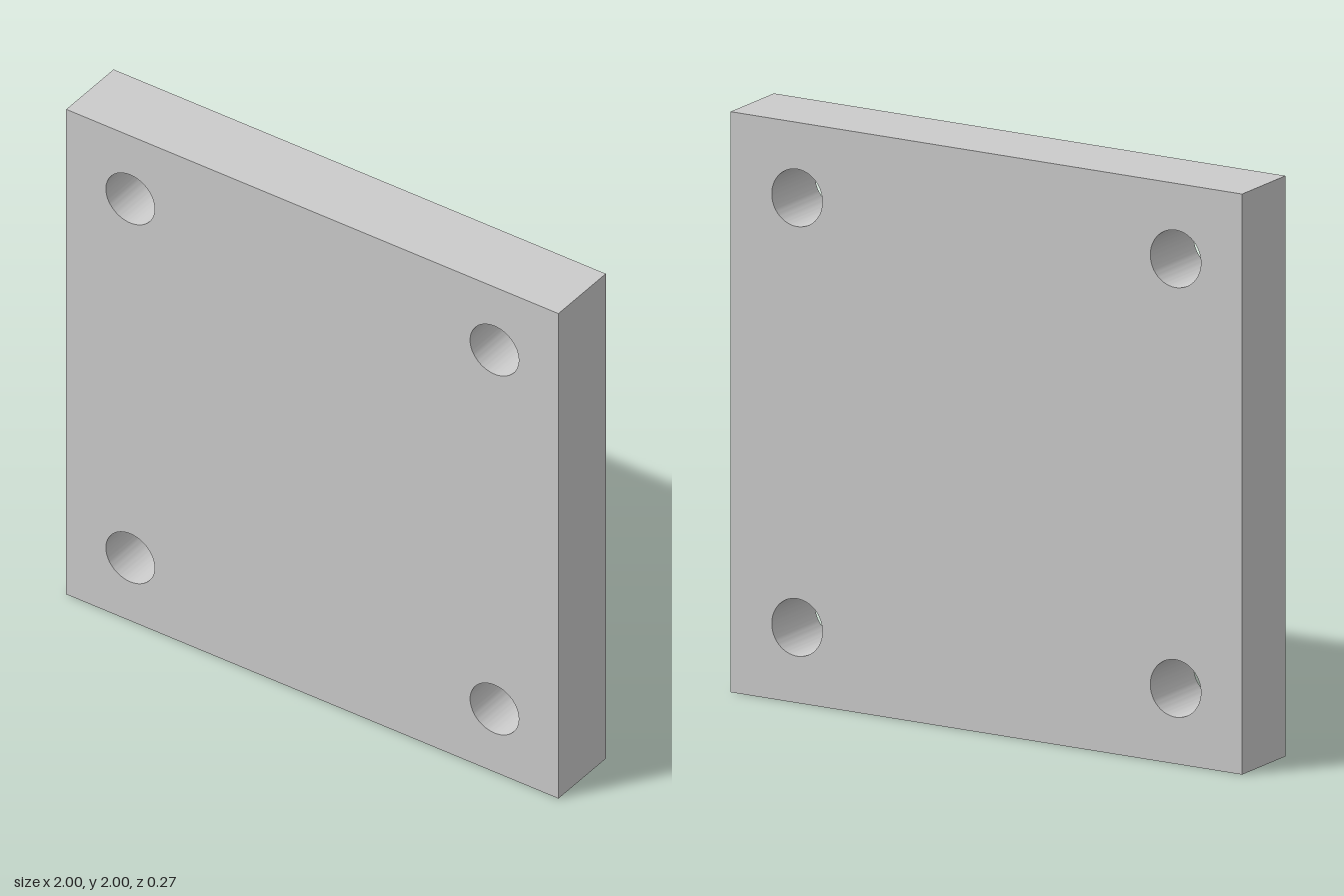
import * as THREE from 'three';
import { toCreasedNormals } from 'three/addons/utils/BufferGeometryUtils.js';

const SIZE = 2;            // width and height of the plate
const THICKNESS = 0.274;
const HOLE_OFFSET = 0.74;  // hole centres from the plate centre
const HOLE_RADIUS = 0.099;

export function createModel() {
  const model = new THREE.Group();
  model.name = 'mountingPlate';

  // Square outline
  const h = SIZE / 2;
  const outline = new THREE.Shape([
    new THREE.Vector2(-h, -h),
    new THREE.Vector2(h, -h),
    new THREE.Vector2(h, h),
    new THREE.Vector2(-h, h),
  ]);

  // One round through hole near each corner
  for (const sx of [-1, 1]) {
    for (const sy of [-1, 1]) {
      const hole = new THREE.Path();
      hole.absarc(sx * HOLE_OFFSET, sy * HOLE_OFFSET, HOLE_RADIUS, 0, Math.PI * 2, true);
      outline.holes.push(hole);
    }
  }

  // Plate with sharp edges and smooth hole walls
  const extruded = new THREE.ExtrudeGeometry(outline, {
    depth: THICKNESS, bevelEnabled: false, curveSegments: 48,
  });
  extruded.translate(0, h, -THICKNESS / 2);
  const plate = new THREE.Mesh(
    toCreasedNormals(extruded, 0.6),
    new THREE.MeshStandardMaterial({ color: 0xcccccc }),
  );
  plate.name = 'plate';
  model.add(plate);

  return model;
}
